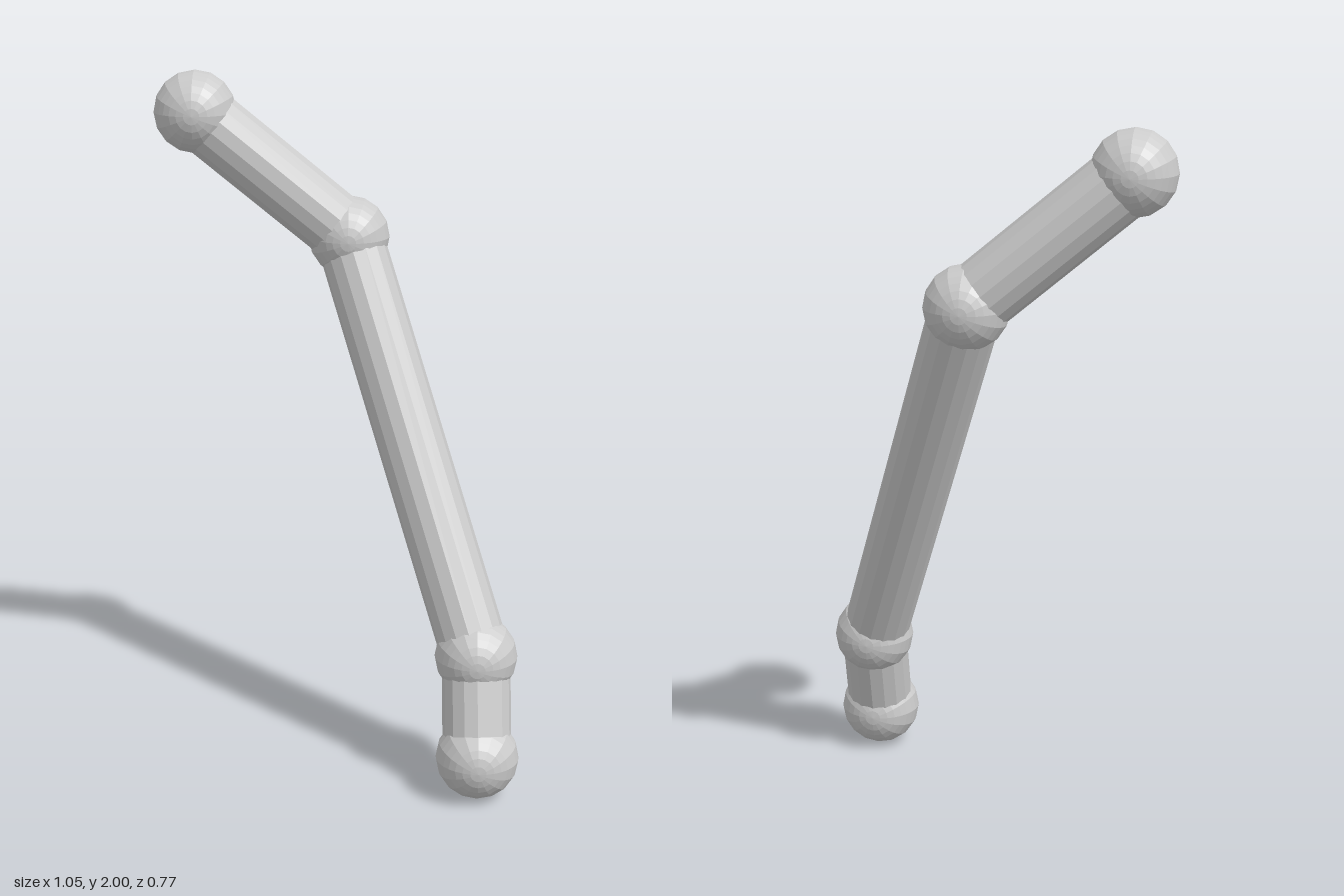
import * as THREE from 'three';

const JOINT_RADIUS = 0.118;
const ROD_RADIUS = 0.098;
const SIDES = 16;

export function createModel() {
  const model = new THREE.Group();
  model.name = 'jointedRod';
  const material = new THREE.MeshStandardMaterial({ color: 0xcccccc, flatShading: true });

  // Joint centres, from the top end down to the foot
  const joints = [
    ['topBall', new THREE.Vector3(-0.412, 1.882, -0.228)],
    ['upperJoint', new THREE.Vector3(0.026, 1.517, -0.268)],
    ['lowerJoint', new THREE.Vector3(0.4, 0.393, 0.177)],
    ['footBall', new THREE.Vector3(0.405, 0.12, 0.267)],
  ];

  // Balls, with their poles along z
  const ballGeometry = new THREE.SphereGeometry(JOINT_RADIUS, SIDES, SIDES).rotateX(Math.PI / 2);
  for (const [name, position] of joints) {
    const ball = new THREE.Mesh(ballGeometry, material);
    ball.name = name;
    ball.position.copy(position);
    model.add(ball);
  }

  // Rods between neighbouring balls
  const up = new THREE.Vector3(0, 1, 0);
  ['upperRod', 'middleRod', 'lowerRod'].forEach((name, i) => {
    const start = joints[i + 1][1];
    const end = joints[i][1];
    const direction = end.clone().sub(start);
    const rod = new THREE.Mesh(
      new THREE.CylinderGeometry(ROD_RADIUS, ROD_RADIUS, direction.length(), SIDES),
      material
    );
    rod.name = name;
    rod.position.copy(start).add(end).multiplyScalar(0.5);
    rod.quaternion.setFromUnitVectors(up, direction.normalize());
    model.add(rod);
  });

  return model;
}
